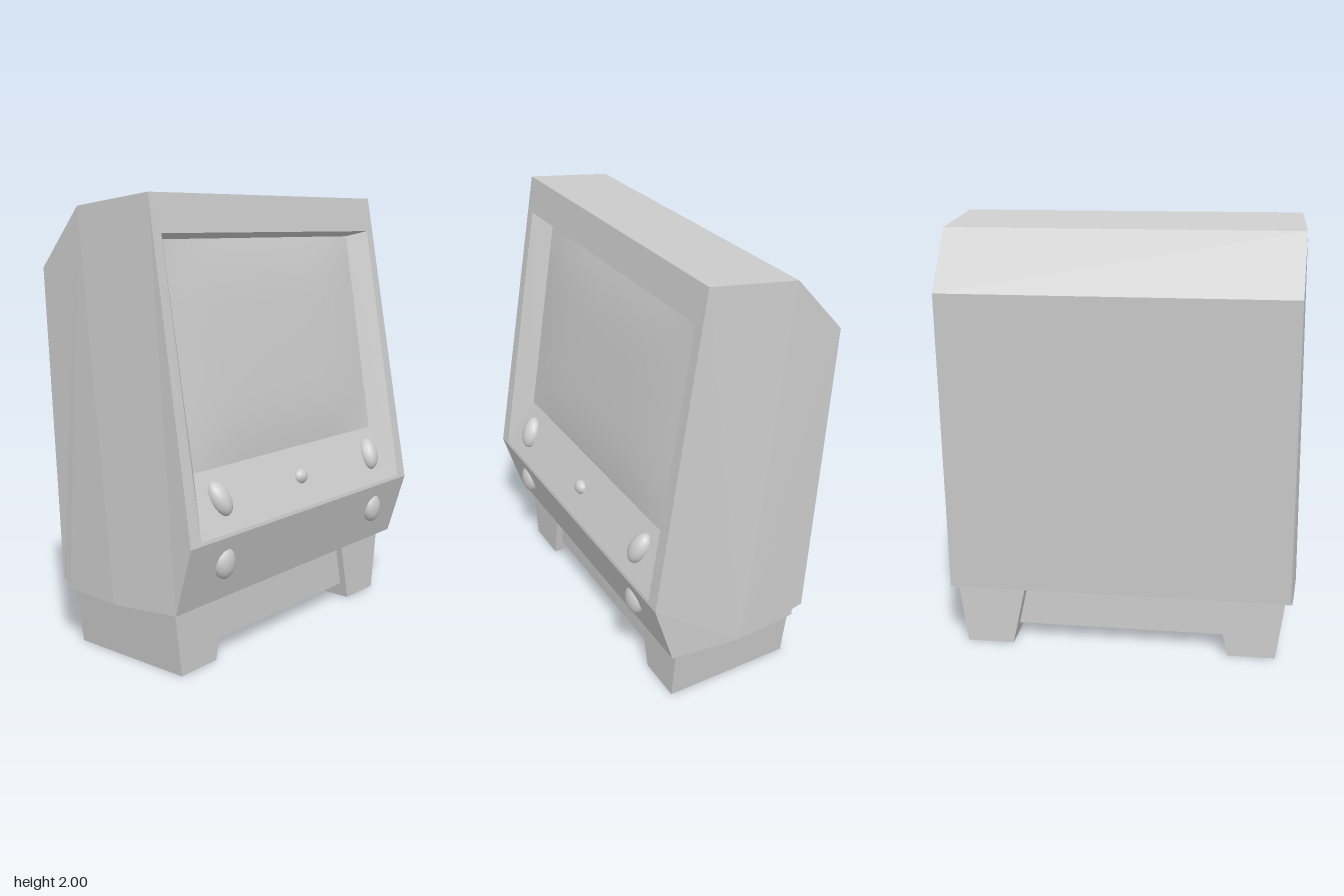
import * as THREE from 'three';

const grey = new THREE.MeshStandardMaterial({ color: 0xcccccc });
grey.name = 'light grey';

// Flat-faced mesh from polygons, each listed counter-clockwise from outside
function polyMesh(name, faces) {
  const pos = [];
  for (const f of faces) {
    for (let i = 1; i < f.length - 1; i++) pos.push(...f[0], ...f[i], ...f[i + 1]);
  }
  const g = new THREE.BufferGeometry();
  g.setAttribute('position', new THREE.Float32BufferAttribute(pos, 3));
  g.computeVertexNormals();
  const m = new THREE.Mesh(g, grey);
  m.name = name;
  return m;
}

// Rectangle of four corners: half width, y and z of the top and bottom edges
const ring = (wt, yt, zt, wb, yb, zb) =>
  [[-wb, yb, zb], [wb, yb, zb], [wb, yt, zt], [-wt, yt, zt]].map((p, i) =>
    i === 2 ? [wt, yt, zt] : p);

// Band of four quads between two rings
const band = (a, b) => a.map((p, i) => {
  const j = (i + 1) % 4;
  return [p, a[j], b[j], b[i]];
});

function ball(name, x, y, z, sx, sy, sz) {
  const m = new THREE.Mesh(new THREE.SphereGeometry(1, 14, 10), grey);
  m.name = name;
  m.scale.set(sx, sy, sz);
  m.position.set(x, y, z);
  return m;
}

export function createModel() {
  const model = new THREE.Group();
  model.name = 'television';

  // Casing: side profile as [half width, y, z]
  const P = {
    frontTop: [0.785, 2, 0.2], ridgeTop: [0.797, 1.95, -0.2],
    backTop: [0.785, 1.69, -0.44], backLow: [0.79, 0.3, -0.36],
    step: [0.8, 0.3, -0.3], stepLow: [0.8, 0.27, -0.3],
    ridgeLow: [0.822, 0.27, 0], frontLow: [0.81, 0.3, 0.35], chin: [0.815, 0.6, 0.44],
  };
  const flip = ([x, y, z]) => [-x, y, z];
  const halves = [
    [P.ridgeLow, P.ridgeTop, P.frontTop, P.chin, P.frontLow],
    [P.ridgeLow, P.stepLow, P.step, P.backLow, P.backTop, P.ridgeTop],
  ];
  const loop = [P.chin, P.frontLow, P.ridgeLow, P.stepLow, P.step, P.backLow,
    P.backTop, P.ridgeTop, P.frontTop];
  const shell = [];
  for (const h of halves) {
    shell.push(h, [...h].reverse().map(flip));
  }
  for (let i = 0; i < loop.length - 1; i++) {
    const a = loop[i], b = loop[i + 1];
    shell.push([a, flip(a), flip(b), b]);
  }
  model.add(polyMesh('casing', shell));

  // Front frame and the sunken bezel that leads to the screen
  const outer = ring(0.785, 2, 0.2, 0.815, 0.6, 0.44);
  const lip = ring(0.74, 1.84, 0.227, 0.75, 0.615, 0.437);
  const inner = ring(0.66, 1.815, 0.155, 0.66, 0.865, 0.315);
  model.add(polyMesh('frontFrame', band(outer, lip)));
  model.add(polyMesh('bezel', band(lip, inner)));

  // Screen: gently bulged sheet that fills the bezel opening
  const sg = new THREE.PlaneGeometry(1.32, 0.95, 12, 10);
  const p = sg.attributes.position;
  for (let i = 0; i < p.count; i++) {
    const u = p.getX(i) / 0.66, v = p.getY(i) / 0.475;
    const bulge = 0.025 * (1 - u ** 4) * (1 - v ** 4);
    p.setZ(i, 0.235 - 0.08 * v + bulge);
    p.setY(i, 1.34 + 0.475 * v);
  }
  sg.computeVertexNormals();
  const screen = new THREE.Mesh(sg, grey);
  screen.name = 'screen';
  model.add(screen);

  // Knobs on the control panel
  for (const s of [-1, 1]) {
    const upper = ball('upperKnob', s * 0.565, 0.75, 0.375, 0.05, 0.08, 0.045);
    upper.rotation.set(-0.45, 0, s * -0.25);
    model.add(upper);
    model.add(ball('lowerKnob', s * 0.565, 0.48, 0.4, 0.058, 0.072, 0.04));
  }
  model.add(ball('centreKnob', 0, 0.74, 0.375, 0.04, 0.035, 0.03));

  // Tapered feet
  for (const s of [-1, 1]) {
    const g = new THREE.BoxGeometry(1, 0.3, 0.61).toNonIndexed();
    const q = g.attributes.position;
    for (let i = 0; i < q.count; i++) {
      const top = q.getY(i) > 0, right = q.getX(i) > 0;
      const near = top ? 0.445 : 0.51, far = top ? 0.77 : 0.73;
      q.setX(i, s > 0 ? (right ? far : near) : (right ? -near : -far));
    }
    g.computeVertexNormals();
    const foot = new THREE.Mesh(g, grey);
    foot.name = s > 0 ? 'leftFoot' : 'rightFoot';
    foot.position.y = 0.15;
    model.add(foot);
  }

  // Block that joins the feet
  const bar = new THREE.Mesh(new THREE.BoxGeometry(0.99, 0.22, 0.5), grey);
  bar.name = 'crossbar';
  bar.position.set(0, 0.18, 0.02);
  model.add(bar);

  return model;
}
